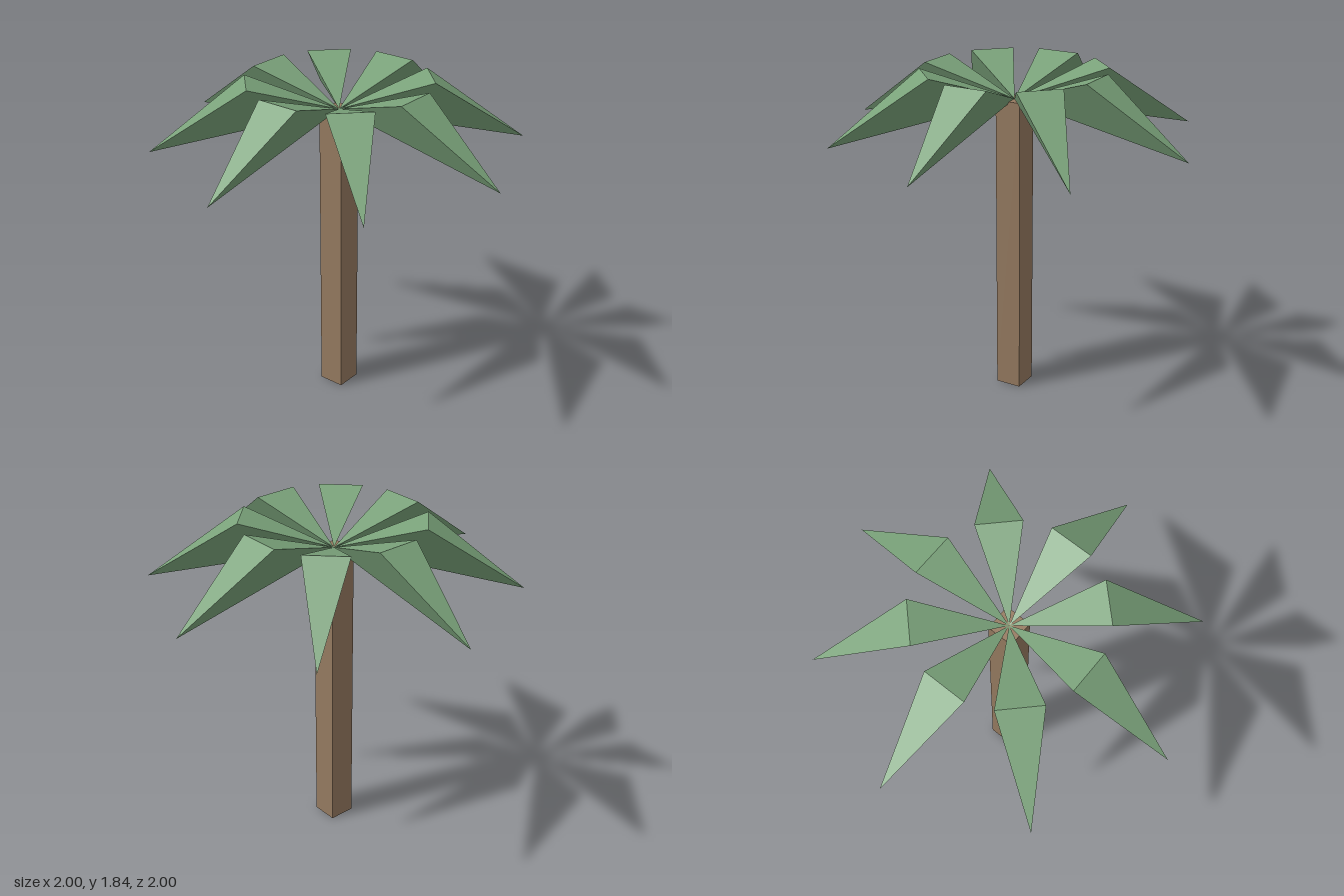
import * as THREE from 'three';

const TRUNK_WIDTH = 0.146;
const CROWN_Y = 1.67;
const LEAF_COUNT = 8;

// Leaf pointing along +z: a tetrahedron with a raised crosswise ridge and a drooping tip.
function leafGeometry() {
  const root = [0, 0, 0];
  const ridgeA = [-0.122, 0.165, 0.485];
  const ridgeB = [0.122, 0.165, 0.485];
  const tip = [0, -0.197, 1];
  const faces = [
    [root, ridgeA, ridgeB], // inner top
    [ridgeB, ridgeA, tip], // outer top
    [root, ridgeB, tip], // side
    [ridgeA, root, tip], // side
  ];
  const geometry = new THREE.BufferGeometry();
  geometry.setAttribute('position', new THREE.Float32BufferAttribute(faces.flat(2), 3));
  geometry.computeVertexNormals();
  return geometry;
}

export function createModel() {
  const tree = new THREE.Group();
  tree.name = 'palmTree';

  const bark = new THREE.MeshStandardMaterial({ color: 0x957a60, flatShading: true });
  const green = new THREE.MeshStandardMaterial({ color: 0x7aa27a, flatShading: true });

  // Square trunk
  const trunk = new THREE.Mesh(new THREE.BoxGeometry(TRUNK_WIDTH, CROWN_Y, TRUNK_WIDTH), bark);
  trunk.name = 'trunk';
  trunk.position.y = CROWN_Y / 2;
  tree.add(trunk);

  // Ring of leaves meeting at the top of the trunk
  const crown = new THREE.Group();
  crown.name = 'crown';
  crown.position.y = CROWN_Y;
  const geometry = leafGeometry();
  for (let i = 0; i < LEAF_COUNT; i++) {
    const leaf = new THREE.Mesh(geometry, green);
    leaf.name = `leaf${i + 1}`;
    leaf.rotation.y = (i / LEAF_COUNT) * Math.PI * 2;
    crown.add(leaf);
  }
  tree.add(crown);

  return tree;
}
